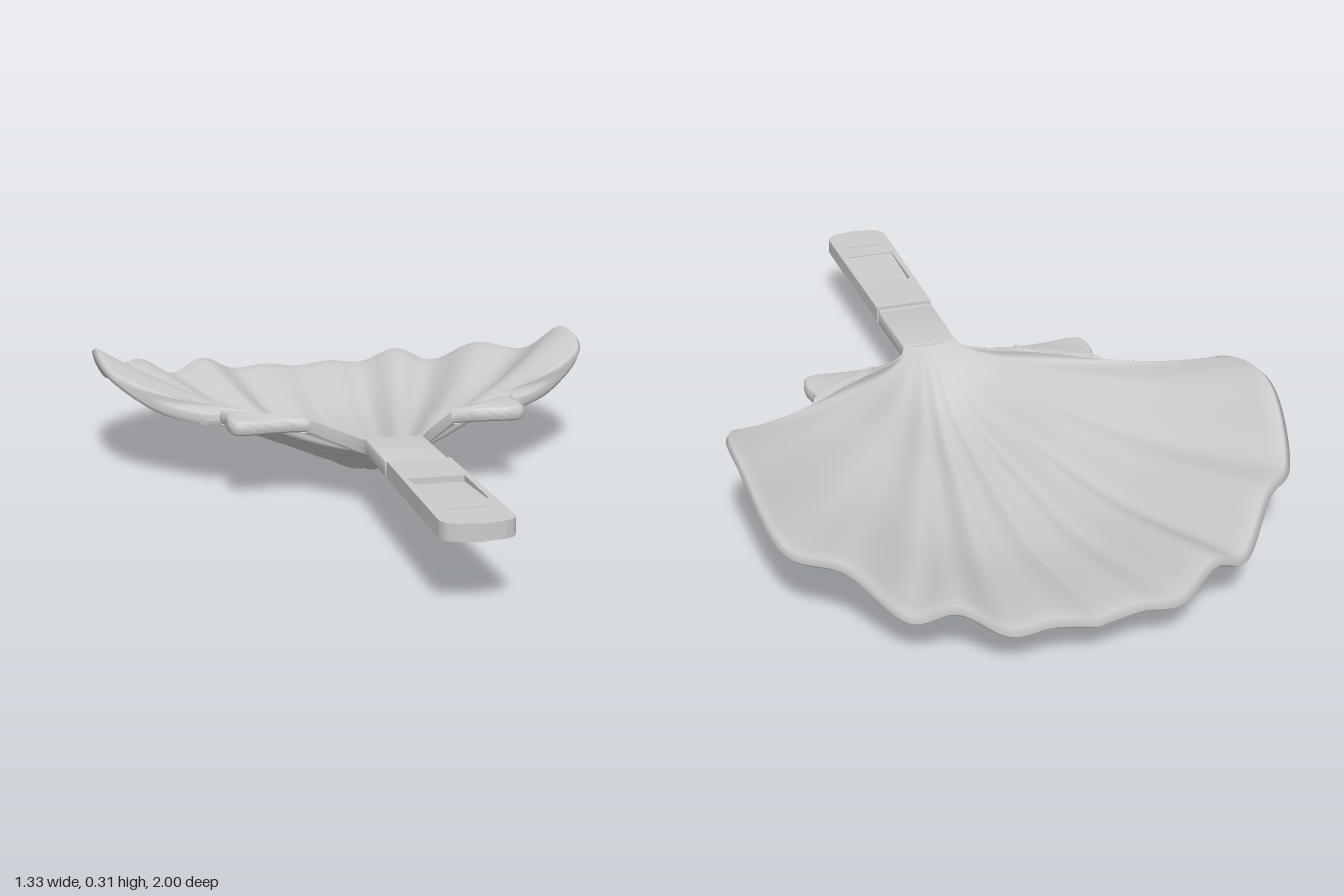
import * as THREE from 'three';
import { toCreasedNormals } from 'three/addons/utils/BufferGeometryUtils.js';

const V2 = (x, y) => new THREE.Vector2(x, y);

// evenly spaced values turned into a smooth function of t in 0..1
const curve = (values) => {
  const s = new THREE.SplineCurve(values.map((v, i) => V2(i, v)));
  return (t) => s.getPoint(t).y;
};

// half of the scalloped rim, from the middle of the far end to the ear;
// whole steps are troughs, half steps are ridges
const RIM = [
  [0, -0.998, 0.093], [0.1, -0.99, 0.106], [0.2, -0.985, 0.1], [0.3, -0.935, 0.146],
  [0.4, -0.888, 0.115], [0.505, -0.77, 0.188], [0.615, -0.65, 0.19], [0.661, -0.45, 0.293],
  [0.645, -0.25, 0.272], [0.535, -0.15, 0.2], [0.42, -0.05, 0.182],
];
const rimX = curve(RIM.map((p) => p[0]));
const rimZ = curve(RIM.map((p) => p[1]));
const rimY = curve(RIM.map((p) => p[2]));

// height along the middle line and along the side edge, neck to rim
const midY = curve([0.167, 0.135, 0.06, 0.033, 0.024, 0.093]);
const edgeY = curve([0.167, 0.165, 0.176, 0.195, 0.196, 0.182]);

// point of the bowl: u from -1 to 1 across the fan, t from neck to rim
function bowlPoint(u, t, side) {
  const a = Math.abs(u), k = 1 - t;
  const x = 0.072 * a * (1 - t * t) + rimX(a) * t * t;
  const z = 0.25 * k * k + 2 * 0.15 * k * t + rimZ(a) * t * t;
  const w = Math.pow(THREE.MathUtils.smoothstep(a, 0, 1), 1.25);
  const base = (s) => THREE.MathUtils.lerp(midY(s), edgeY(s), w);
  const fade = 1 - THREE.MathUtils.smoothstep(a, 0.8, 1);
  const rib = -0.065 * Math.cos(a * 10 * Math.PI) * fade * t * t * t * k;
  const y = base(t) + (rimY(a) - base(1)) * Math.pow(t, 4.5) + rib;
  const half = THREE.MathUtils.lerp(0.018, 0.013, t);
  return [Math.sign(u) * x, y + side * half, z];
}

function bowlGeometry() {
  const columns = [[-1, 0]], rows = [];
  for (let i = 0; i <= 160; i++) columns.push([-0.99 + (1.98 * i) / 160, 1]);
  columns.push([1, 0]);
  // over the inside, round the rim, back along the underside
  for (let j = 0; j <= 44; j++) rows.push([(0.992 * j) / 44, 1]);
  rows.push([1, 0]);
  for (let j = 44; j >= 0; j--) rows.push([(0.992 * j) / 44, -1]);

  const pos = [], index = [], n = rows.length;
  for (const [u, full] of columns) {
    for (const [t, side] of rows) pos.push(...bowlPoint(u, t, side * full));
  }
  for (let i = 0; i < columns.length - 1; i++) {
    for (let j = 0; j < n - 1; j++) {
      const a = i * n + j, b = a + n;
      index.push(a, b, a + 1, b, b + 1, a + 1);
    }
  }
  const g = new THREE.BufferGeometry();
  g.setAttribute('position', new THREE.Float32BufferAttribute(pos, 3));
  g.setIndex(index);
  g.computeVertexNormals();
  return g;
}

// plate with a plan outline given as [x, z], between two heights
function plate(outline, y0, y1, bevel = 0, holes = []) {
  const plan = (pts) => pts.map(([x, z]) => V2(x, -z));
  const shape = new THREE.Shape(plan(outline));
  for (const h of holes) shape.holes.push(new THREE.Path(plan(h)));
  const g = new THREE.ExtrudeGeometry(shape, {
    depth: y1 - y0 - 2 * bevel, bevelEnabled: bevel > 0, bevelSize: bevel,
    bevelThickness: bevel, bevelOffset: -bevel, bevelSegments: 4,
  });
  g.rotateX(-Math.PI / 2);
  g.translate(0, y0 + bevel, 0);
  return toCreasedNormals(g, 0.7);
}

const rect = (hx, z0, z1) => [[-hx, z0], [hx, z0], [hx, z1], [-hx, z1]];

// smooth closed outline of an ear, s = 1 or -1 for its side
function earOutline(s) {
  const pts = [
    [0.18, 0.107], [0.23, 0.103], [0.29, 0.106], [0.345, 0.111], [0.373, 0.1],
    [0.382, 0.05], [0.374, 0.0], [0.385, -0.03], [0.35, -0.022], [0.26, 0.045],
  ].map(([x, z]) => new THREE.Vector3(s * x, 0, z));
  const loop = new THREE.CatmullRomCurve3(pts, true, 'centripetal');
  return loop.getPoints(50).slice(0, -1).map((p) => [p.x, p.z]);
}

// grip with a softly rounded tip
function gripOutline() {
  const side = [[0.077, 0.472], [0.082, 0.8]];
  for (let i = 0; i <= 8; i++) {
    const a = (i / 8) * Math.PI / 2;
    side.push([0.034 + 0.05 * Math.cos(a), 0.955 + 0.038 * Math.sin(a)]);
  }
  const mirrored = side.map(([x, z]) => [-x, z]).reverse();
  return [...side, [0, 1], ...mirrored];
}

export function createModel() {
  const group = new THREE.Group();
  const material = new THREE.MeshStandardMaterial({ color: 0xcccccc, side: THREE.DoubleSide });
  const add = (name, geometry) => {
    const mesh = new THREE.Mesh(geometry, material);
    mesh.name = name;
    group.add(mesh);
    return mesh;
  };

  add('shellBowl', bowlGeometry());

  // rounded ears beside the neck
  add('leftEar', plate(earOutline(1), 0.176, 0.213, 0.012));
  add('rightEar', plate(earOutline(-1), 0.176, 0.213, 0.012));

  // handle: neck, narrow joint and grip
  add('handleNeck', plate(
    [[-0.072, 0.235], [0.072, 0.235], [0.076, 0.455], [-0.076, 0.455]], 0.149, 0.187, 0.003));
  add('handleJoint', plate(rect(0.072, 0.44, 0.48), 0.152, 0.185));
  const grip = gripOutline();
  add('gripBase', plate(grip, 0.153, 0.175));
  add('gripTop', plate(grip, 0.175, 0.193, 0,
    [rect(0.066, 0.63, 0.82), rect(0.05, 0.88, 0.885)]));

  // sloping floor of the grip's pocket
  const ramp = add('pocketRamp', new THREE.BoxGeometry(0.132, 0.012, 0.19));
  ramp.position.set(0, 0.178, 0.725);
  ramp.rotation.x = -0.06;

  return group;
}
